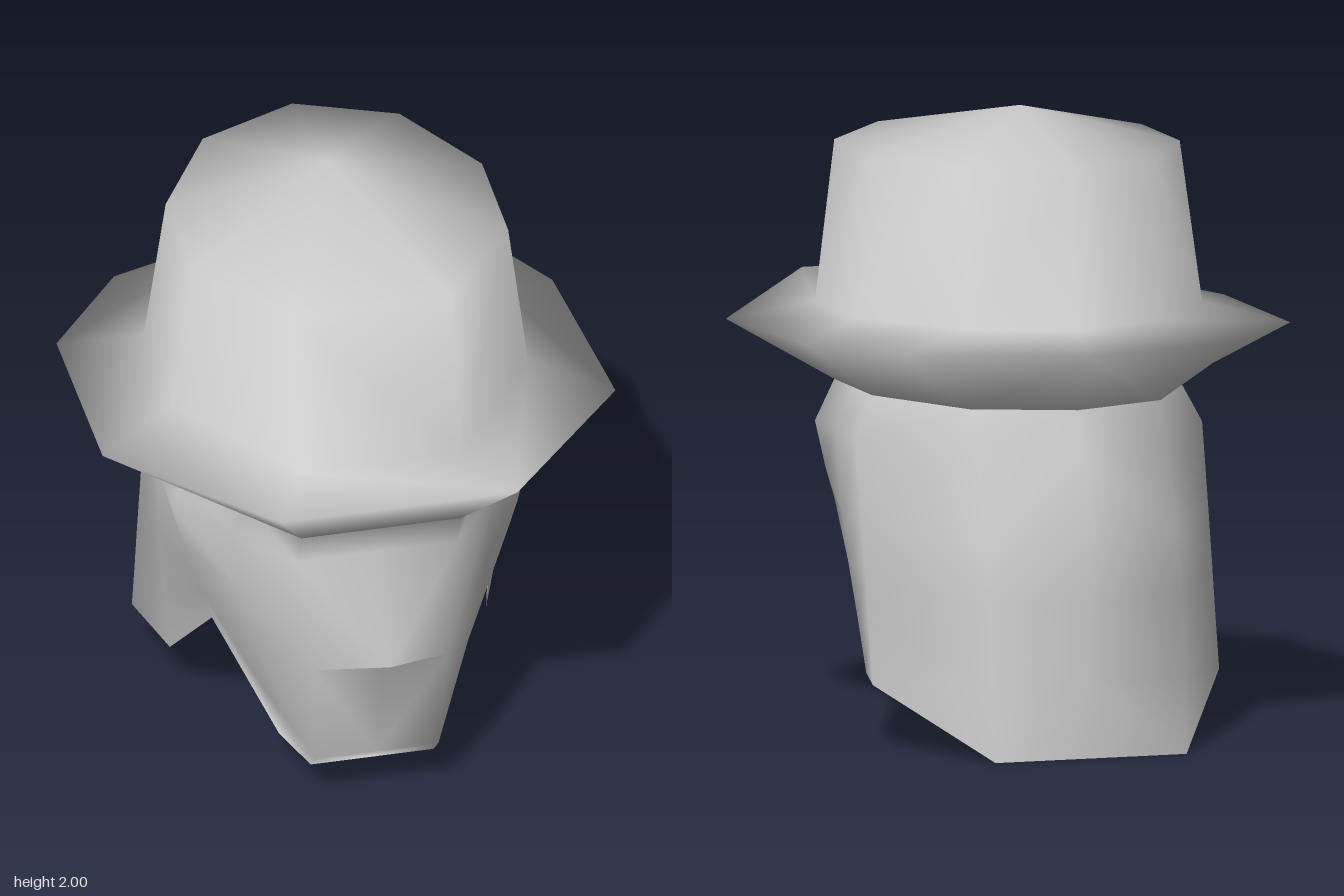
import * as THREE from 'three';
import { mergeVertices } from 'three/addons/utils/BufferGeometryUtils.js';

const grey = new THREE.MeshStandardMaterial({ color: 0xcccccc, side: THREE.DoubleSide });
grey.name = 'light grey';

// Half ring (back to front along +x) completed by its mirror image
function mirrorRing(half) {
  const other = half.filter((p) => p[0] > 0).reverse().map(([x, y, z]) => [-x, y, z]);
  return [...half, ...other];
}

// Smooth skin over closed rings listed from top to bottom, plus optional extra faces
function skin(name, rings, extra = []) {
  const n = rings[0].length;
  const index = [...extra];
  for (let j = 0; j < rings.length - 1; j++) {
    for (let i = 0; i < n; i++) {
      const a = j * n + i, b = j * n + (i + 1) % n;
      // Diagonals mirror each other on the two sides
      if (i < Math.floor(n / 2)) index.push(a, b, b + n, a, b + n, a + n);
      else index.push(a, b, a + n, b, b + n, a + n);
    }
  }
  let geo = new THREE.BufferGeometry();
  geo.setAttribute('position', new THREE.Float32BufferAttribute(rings.flat(2), 3));
  geo.setIndex(index);
  geo = mergeVertices(geo, 1e-4);
  geo.computeVertexNormals();
  const mesh = new THREE.Mesh(geo, grey);
  mesh.name = name;
  return mesh;
}

// Nine-sided hat ring at one height
const hatRing = (y, pts) => mirrorRing(pts.map(([x, z]) => [x, y, z]));

function createHat() {
  const apex = Array.from({ length: 9 }, () => [0, 2, -0.16]);
  const crownTop = hatRing(1.87, [[0, -0.68], [0.32, -0.55], [0.515, -0.22], [0.515, 0.16], [0.26, 0.485]]);
  const crownBase = hatRing(1.355, [[0, -0.74], [0.32, -0.61], [0.58, -0.25], [0.58, 0.16], [0.26, 0.61]]);
  const brim = hatRing(1.29, [[0, -0.87], [0.58, -0.68], [0.775, -0.355], [0.835, 0.29], [0.385, 0.87]]);
  // Front of the brim is turned up, and its right side flares a little wider
  brim[4][1] = brim[5][1] = 1.355;
  brim[7][0] = -0.84;
  const band = hatRing(1.1, [[0, -0.74], [0.32, -0.61], [0.515, -0.22], [0.515, 0.16], [0.26, 0.61]]);
  return skin('hat', [apex, crownTop, crownBase, brim, band]);
}

function createHead() {
  // Columns from the back of the hair round to the face, each from top to bottom
  const columns = [
    // back of the hair
    [[0, 1.1, -0.74], [0, 0.97, -0.783], [0, 0.71, -0.87], [0, 0.5, -0.87], [0, 0.25, -0.87], [0, 0, -0.87]],
    [[0.32, 1.1, -0.61], [0.32, 0.97, -0.667], [0.32, 0.71, -0.78], [0.32, 0.5, -0.81], [0.32, 0.25, -0.84], [0.32, 0, -0.87]],
    // side of the hair
    [[0.515, 1.1, -0.22], [0.58, 0.97, -0.25], [0.58, 0.71, -0.31], [0.58, 0.55, -0.345], [0.58, 0.38, -0.38], [0.58, 0.2, -0.42]],
    [[0.515, 1.1, -0.03], [0.58, 0.97, -0.04], [0.57, 0.71, -0.08], [0.555, 0.55, -0.1], [0.535, 0.38, -0.13], [0.515, 0.2, -0.16]],
    // notch in front of the hair
    [[0.515, 1.1, 0.16], [0.58, 0.97, 0.16], [0.545, 0.82, 0.16], [0.515, 0.72, 0.16], [0.48, 0.62, 0.16], [0.45, 0.52, 0.16]],
    // jaw
    [[0.387, 1.1, 0.385], [0.42, 0.97, 0.355], [0.395, 0.75, 0.37], [0.37, 0.6, 0.38], [0.33, 0.36, 0.32], [0.26, 0.13, 0.29]],
    // edge of the face, with the nose corner shared by two rows
    [[0.26, 1.1, 0.61], [0.26, 0.97, 0.55], [0.22, 0.585, 0.61], [0.22, 0.585, 0.61], [0.2, 0.2, 0.55], [0.2, 0.13, 0.48]],
    // middle of the face, with the nose tip
    [[0, 1.1, 0.61], [0, 0.97, 0.55], [0, 0.65, 0.74], [0, 0.585, 0.61], [0, 0.2, 0.55], [0, 0.13, 0.48]],
  ];
  const rings = columns[0].map((_, row) => mirrorRing(columns.map((c) => c[row])));
  // Underside of the chin
  const o = 5 * rings[0].length;
  const chin = [[6, 5, 7], [7, 5, 9], [7, 9, 8]].flat().map((i) => o + i);
  return skin('head', rings, chin);
}

export function createModel() {
  const model = new THREE.Group();
  model.name = 'head with hat';
  model.add(createHat(), createHead());
  return model;
}
